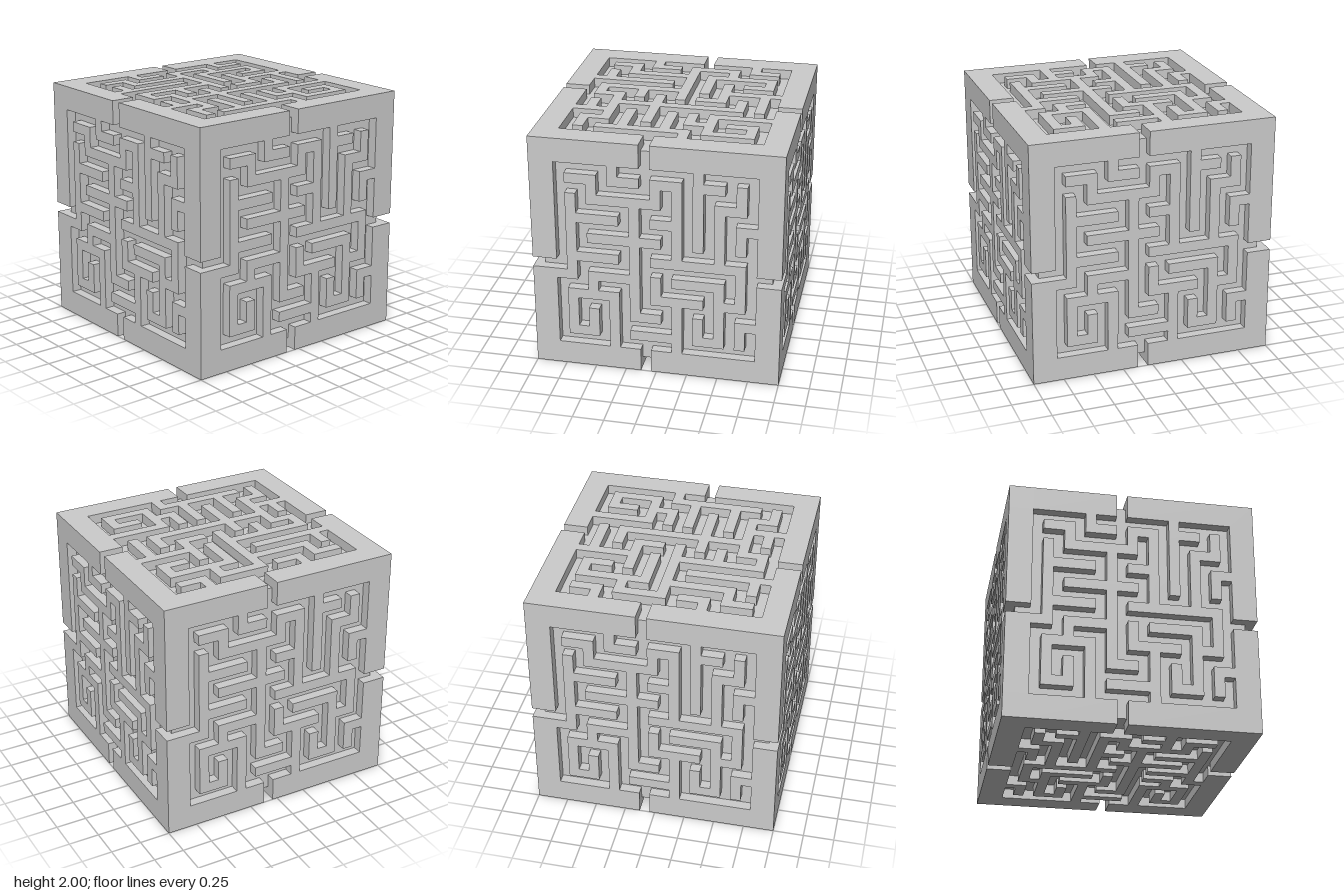
import * as THREE from 'three';
import { mergeGeometries } from 'three/addons/utils/BufferGeometryUtils.js';

const HALF = 1;            // half the cube
const DEPTH = 0.08;        // groove depth
const EDGE = 0.8025;       // half width of the maze field
const N = 19;              // cells across the field
const CELL = 2 * EDGE / N;
const NOTCH = [-EDGE + 8 * CELL, -EDGE + 9 * CELL]; // gap in every frame edge

// Wall paths as [column, row] corners; -1 and 19 lie in the frame
const SIDE_WALLS = [
  [5, -1, 5, 1, 7, 1],
  [1, 1, 3, 1, 3, 3, 9, 3, 9, 1, 11, 1, 11, 9],
  [7, 3, 7, 15, 9, 15],
  [9, 5, 11, 5], [3, 7, 9, 7],
  [13, -1, 13, 7], [13, 1, 15, 1],
  [17, 1, 17, 3, 15, 3, 15, 9],
  [9, 9, 17, 9, 17, 13, 15, 13], [11, 11, 15, 11, 15, 17, 13, 17, 13, 15],
  [19, 5, 17, 5, 17, 7], [19, 15, 17, 15, 17, 17],
  [9, 11, 9, 13, 13, 13], [11, 13, 11, 19], [7, 17, 11, 17],
  [-1, 11, 1, 11, 1, 3], [1, 5, 5, 5], [1, 9, 5, 9],
  [7, 11, 3, 11, 3, 13, 1, 13, 1, 17, 3, 17, 3, 15], [3, 13, 5, 13, 5, 19],
];
const TOP_WALLS = [
  [5, -1, 5, 1, 7, 1], [15, -1, 15, 1, 17, 1],
  [1, 1, 3, 1, 3, 3, 9, 3], [9, 9, 9, 1, 13, 1, 13, 3],
  [11, 7, 11, 3, 17, 3, 17, 5, 15, 5],
  [-1, 5, 7, 5], [1, 5, 1, 3],
  [9, 7, 1, 7, 1, 9, 3, 9, 3, 15, 1, 15, 1, 17],
  [5, 7, 5, 9], [-1, 13, 3, 13], [1, 13, 1, 11],
  [3, 11, 15, 11, 15, 9], [7, 9, 7, 15],
  [19, 7, 13, 7], [13, 5, 13, 9, 11, 9], [17, 7, 17, 11],
  [3, 17, 11, 17, 11, 19], [5, 17, 5, 13], [9, 17, 9, 13],
  [19, 13, 13, 13, 13, 17, 17, 17, 17, 15, 15, 15], [11, 13, 11, 15, 13, 15],
];

// Box between two corners
function block(x0, x1, y0, y1, z0, z1) {
  return new THREE.BoxGeometry(x1 - x0, y1 - y0, z1 - z0)
    .translate((x0 + x1) / 2, (y0 + y1) / 2, (z0 + z1) / 2);
}

// Marks the cells along the paths, then merges them into straight bars
function mazeGeometry(paths, flipRows) {
  const grid = Array.from({ length: N }, () => new Array(N).fill(false));
  for (const p of paths) {
    for (let i = 0; i + 3 < p.length; i += 2) {
      const dx = Math.sign(p[i + 2] - p[i]), dy = Math.sign(p[i + 3] - p[i + 1]);
      const steps = Math.abs(p[i + 2] - p[i]) + Math.abs(p[i + 3] - p[i + 1]);
      for (let s = 0; s <= steps; s++) {
        const c = p[i] + dx * s, r = p[i + 1] + dy * s;
        if (c >= 0 && c < N && r >= 0 && r < N) grid[flipRows ? N - 1 - r : r][c] = true;
      }
    }
  }
  const bars = [];
  const addBar = (c, r, w, h) => {
    for (let j = r; j < r + h; j++) for (let i = c; i < c + w; i++) grid[j][i] = false;
    const x = -EDGE + c * CELL, y = EDGE - r * CELL;
    bars.push(block(x, x + w * CELL, y - h * CELL, y, HALF - DEPTH - 0.02, HALF));
  };
  // Horizontal runs first, then what is left as vertical runs
  for (let r = 0; r < N; r++) for (let c = 0; c < N; c++) {
    let w = 0;
    while (c + w < N && grid[r][c + w]) w++;
    if (w > 1) addBar(c, r, w, 1);
  }
  for (let c = 0; c < N; c++) for (let r = 0; r < N; r++) {
    let h = 0;
    while (r + h < N && grid[r + h][c]) h++;
    if (h > 0) addBar(c, r, 1, h);
  }
  return mergeGeometries(bars);
}

// One side's share of the frame: top and bottom rails, one upright, two corners
function frameGeometry() {
  const parts = [];
  for (const [a, b] of [[-EDGE, NOTCH[0]], [NOTCH[1], EDGE]]) {
    parts.push(block(a, b, EDGE, HALF, EDGE, HALF));
    parts.push(block(a, b, -HALF, -EDGE, EDGE, HALF));
    parts.push(block(EDGE, HALF, a, b, EDGE, HALF));
  }
  parts.push(block(EDGE, HALF, EDGE, HALF, EDGE, HALF));
  parts.push(block(EDGE, HALF, -HALF, -EDGE, EDGE, HALF));
  return mergeGeometries(parts);
}

export function createModel() {
  const group = new THREE.Group();
  group.name = 'mazeCube';
  const material = new THREE.MeshStandardMaterial({ color: 0xcccccc });
  const add = (name, geometry, rx = 0, ry = 0) => {
    const mesh = new THREE.Mesh(geometry, material);
    mesh.name = name;
    mesh.rotation.set(rx, ry, 0);
    mesh.position.y = HALF;
    group.add(mesh);
  };

  // Core whose faces are the groove floors
  const size = 2 * (HALF - DEPTH);
  add('core', new THREE.BoxGeometry(size, size, size));

  // Four equal sides
  const frame = frameGeometry();
  const sideMaze = mazeGeometry(SIDE_WALLS, false);
  ['front', 'right', 'back', 'left'].forEach((side, k) => {
    // the +x side is the model's own left
    const name = { right: 'left', left: 'right' }[side] || side;
    add(name + 'Frame', frame, 0, k * Math.PI / 2);
    add(name + 'MazeWalls', sideMaze, 0, k * Math.PI / 2);
  });

  // Top maze, mirrored below
  add('topMazeWalls', mazeGeometry(TOP_WALLS, false), -Math.PI / 2);
  add('bottomMazeWalls', mazeGeometry(TOP_WALLS, true), Math.PI / 2);
  return group;
}
